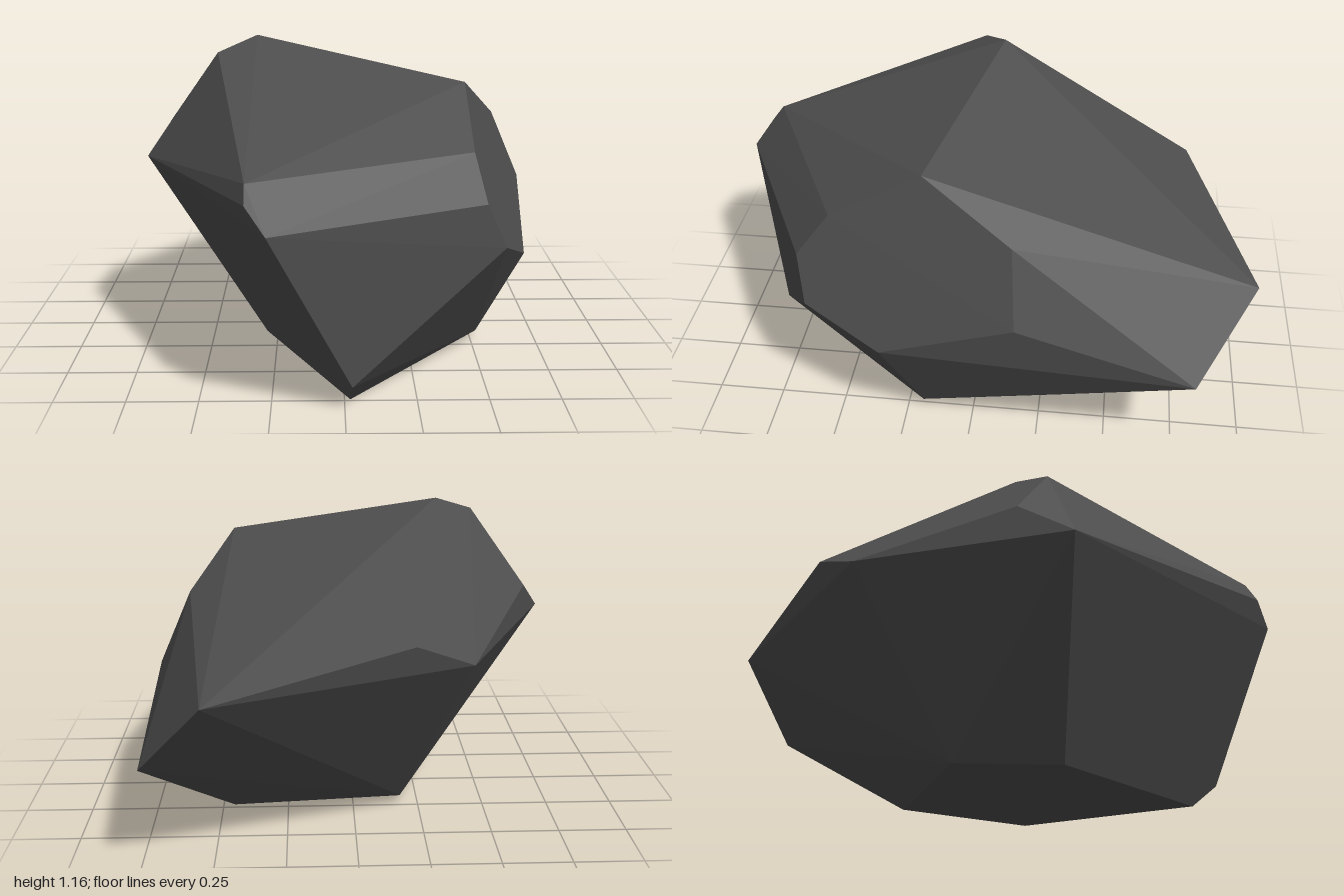
import * as THREE from 'three';
import { ConvexGeometry } from 'three/addons/geometries/ConvexGeometry.js';

export function createModel() {
  const group = new THREE.Group();
  group.name = 'rock';

  const stone = new THREE.MeshStandardMaterial({ color: 0x4d4d4d });
  stone.name = 'dark grey stone';

  // Corners of the faceted boulder, grouped by region
  const crown = [[-0.32, 1.16, -0.03], [-0.465, 1.105, 0.06], [0.455, 1.01, 0.18]];
  const frontRim = [
    [0.455, 0.82, 0.52], [-0.32, 0.805, 0.89], [-0.32, 0.745, 0.935],
    [-0.25, 0.66, 1.0], [0.49, 0.665, 0.64], [0.565, 0.5, 0.605],
  ];
  const leftSide = [[0.605, 0.835, -0.15], [0.72, 0.57, -0.17], [0.675, 0.39, 0.32], [0.735, 0.39, -0.805]];
  const backRim = [[0.505, 0.67, -1.0], [-0.19, 0.79, -0.755], [-0.4, 0.69, -0.645]];
  const rightSide = [[-0.655, 0.835, -0.1], [-0.74, 0.712, 0.085]];
  const base = [
    [0.025, 0.09, 0.845], [0.02, 0, 0.74], [0.52, 0.033, 0.19],
    [0.45, 0.048, -0.33], [-0.18, 0.035, -0.24], [-0.29, 0.02, 0.15],
  ];

  const corners = [...crown, ...frontRim, ...leftSide, ...backRim, ...rightSide, ...base]
    .map((p) => new THREE.Vector3(...p));

  // The convex hull gives flat facets with sharp edges
  const boulder = new THREE.Mesh(new ConvexGeometry(corners), stone);
  boulder.name = 'boulder';
  group.add(boulder);
  return group;
}
